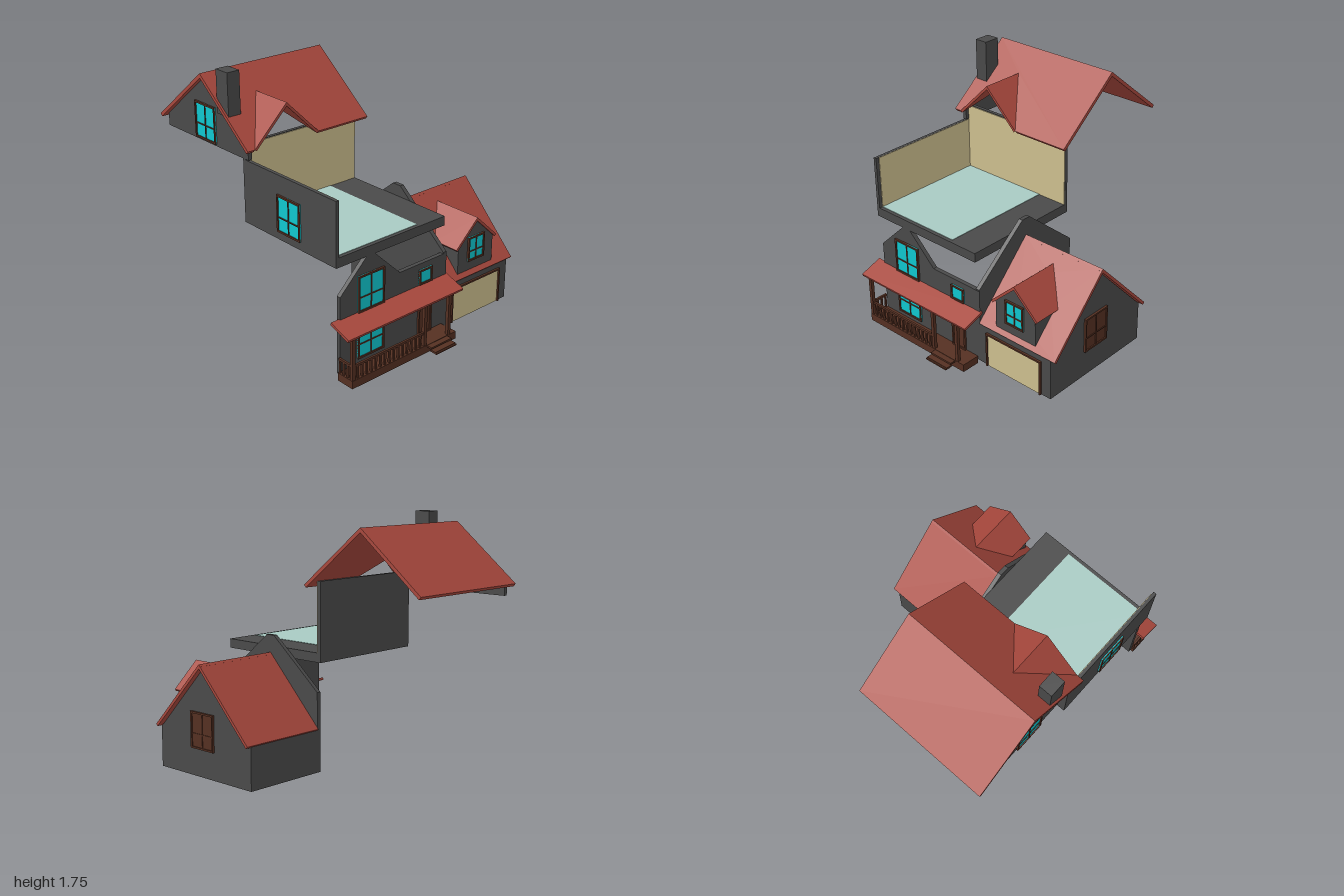
import * as THREE from 'three';

const mat = (color, opts = {}) => new THREE.MeshStandardMaterial({ color, flatShading: true, ...opts });
const GREY = mat(0x4a4a4a), RED = mat(0xa8483d), BROWN = mat(0x553022);
const GLASS = mat(0x10c8d0), BEIGE = mat(0xcfc090), TEAL = mat(0xa8cac3);

export function createModel() {
  const model = new THREE.Group();

  const add = (name, geo, material, parent = model) => {
    const m = new THREE.Mesh(geo, material);
    m.name = name;
    parent.add(m);
    return m;
  };

  // Box given by its two extreme corners
  const box = (name, material, x0, x1, y0, y1, z0, z1, parent = model) => {
    const m = add(name, new THREE.BoxGeometry(x1 - x0, y1 - y0, z1 - z0), material, parent);
    m.position.set((x0 + x1) / 2, (y0 + y1) / 2, (z0 + z1) / 2);
    return m;
  };

  // Flat slab whose outer face is a planar polygon (counter-clockwise from outside)
  const slab = (name, material, pts, t, hole) => {
    const p = pts.map(a => new THREE.Vector3(...a));
    const u = p[1].clone().sub(p[0]).normalize();
    const n = u.clone().cross(p[2].clone().sub(p[0])).normalize();
    const w = n.clone().cross(u);
    const flat = v => {
      const d = v.clone().sub(p[0]);
      return new THREE.Vector2(d.dot(u), d.dot(w));
    };
    const shape = new THREE.Shape(p.map(flat));
    if (hole) shape.holes.push(new THREE.Path(hole.map(a => flat(new THREE.Vector3(...a)))));
    const geo = new THREE.ExtrudeGeometry(shape, { depth: t, bevelEnabled: false });
    geo.translate(0, 0, -t);
    geo.applyMatrix4(new THREE.Matrix4().makeBasis(u, w, n).setPosition(p[0]));
    return add(name, geo, material);
  };

  // Two roof slopes mirrored about x = cx; pts describe the -x side
  const dormerRoof = (name, cx, pts, t) => {
    slab(name + 'RightSlope', RED, pts, t);
    slab(name + 'LeftSlope', RED, pts.map(([x, y, z]) => [2 * cx - x, y, z]).reverse(), t);
  };

  // Framed window with glazing bars, centred on its own origin and facing +z
  const windowAt = (name, w, h, x, y, z, turn = 0, pane = GLASS, cross = true) => {
    const g = new THREE.Group();
    g.name = name;
    const b = 0.012, d = 0.012;
    box('pane', pane, -w / 2, w / 2, -h / 2, h / 2, -0.004, 0.004, g);
    for (const s of [-1, 1]) {
      const fx = s * (w - b) / 2, fy = s * (h - b) / 2;
      box('frameSide', BROWN, fx - b / 2, fx + b / 2, -h / 2, h / 2, -0.004, d, g);
      box('frameRail', BROWN, -w / 2, w / 2, fy - b / 2, fy + b / 2, -0.004, d, g);
    }
    if (cross) {
      box('barUpright', BROWN, -0.004, 0.004, -h / 2, h / 2, -0.004, d - 0.003, g);
      box('barLevel', BROWN, -w / 2, w / 2, -0.1 * h - 0.004, -0.1 * h + 0.004, -0.004, d - 0.003, g);
    }
    g.position.set(x, y, z);
    g.rotation.y = turn;
    model.add(g);
  };

  const atZ = (z, pts) => pts.map(([x, y]) => [x, y, z]);
  const atX = (x, pts) => pts.map(([z, y]) => [x, y, z]);

  // Ground floor: gabled front wall and the wall shared with the garage
  slab('groundFrontWall', GREY, atZ(0.78, [[-0.75, 0.03], [0.17, 0.03], [0.17, 0.57], [-0.25, 0.57],
    [-0.47, 0.78], [-0.53, 0.78], [-0.75, 0.57]]), 0.03);
  slab('sharedWall', GREY, atX(0.17, [[0.779, 0.03], [-0.11, 0.03], [-0.11, 0.58], [0.30, 0.92],
    [0.37, 0.92], [0.779, 0.58]]), 0.03);
  windowAt('frontUpperWindow', 0.22, 0.25, -0.5, 0.54, 0.782);
  windowAt('frontLowerWindow', 0.22, 0.25, -0.5, 0.215, 0.782);
  windowAt('frontSmallWindow', 0.115, 0.105, -0.025, 0.475, 0.782, 0, GLASS, false);
  windowAt('frontDoor', 0.12, 0.235, -0.025, 0.172, 0.782, 0, BROWN, false);

  // Porch: deck, steps, posts, railing and sloping roof
  box('porchDeck', BROWN, -0.77, 0.14, 0, 0.055, 0.78, 0.915);
  box('upperStep', BROWN, -0.125, 0.06, 0.04, 0.052, 0.9, 0.955);
  box('lowerStep', BROWN, -0.125, 0.06, 0.022, 0.034, 0.94, 0.99);
  box('bottomStep', BROWN, -0.125, 0.06, 0.02, 0.03, 0.96, 1.0);
  for (const x of [-0.757, -0.142, 0.077])
    box('porchPost', BROWN, x - 0.012, x + 0.012, 0.05, 0.355, 0.89, 0.914);
  box('frontRail', BROWN, -0.757, -0.142, 0.142, 0.157, 0.895, 0.91);
  for (let i = 1; i < 16; i++) {
    const x = -0.757 + i * 0.0384;
    box('frontBaluster', BROWN, x - 0.007, x + 0.007, 0.05, 0.145, 0.896, 0.908);
  }
  box('sideRail', BROWN, -0.765, -0.75, 0.142, 0.157, 0.78, 0.9);
  for (const z of [0.79, 0.825, 0.86])
    box('sideBaluster', BROWN, -0.764, -0.752, 0.05, 0.145, z - 0.006, z + 0.006);
  slab('porchRoof', RED, [[-0.815, 0.364, 0.93], [0.18, 0.364, 0.93], [0.18, 0.42, 0.77], [-0.815, 0.42, 0.77]], 0.018);

  // Garage: walls, door and side window
  box('garageFrontWall', GREY, 0.17, 0.775, 0.03, 0.33, 0.75, 0.78);
  box('garageBackWall', GREY, 0.17, 0.775, 0.03, 0.33, -0.11, -0.08);
  slab('garageGable', GREY, atX(0.775, [[0.779, 0.03], [-0.109, 0.03], [-0.109, 0.31], [0.335, 0.77], [0.779, 0.31]]), 0.03);
  box('garageDoor', BEIGE, 0.24, 0.69, 0.03, 0.275, 0.775, 0.785);
  box('garageDoorLintel', BROWN, 0.228, 0.7, 0.272, 0.284, 0.775, 0.795);
  for (const x of [0.234, 0.694])
    box('garageDoorJamb', BROWN, x - 0.006, x + 0.006, 0.03, 0.284, 0.775, 0.795);
  windowAt('garageSideWindow', 0.22, 0.25, 0.35 + 0.428, 0.345, 0.35, Math.PI / 2, BROWN);

  // Garage roof, open beneath its dormer
  const gy = z => 0.8 - (z - 0.335) * 1.03;
  slab('garageFrontRoof', RED, [[0.17, gy(0.79), 0.79], [0.815, gy(0.79), 0.79], [0.815, 0.8, 0.335], [0.17, 0.8, 0.335]], 0.02,
    [[0.33, 0.73], [0.6, 0.73], [0.6, 0.58], [0.465, 0.45], [0.33, 0.58]].map(([x, z]) => [x, gy(z), z]));
  slab('garageBackRoof', RED, [[0.815, gy(0.79), -0.12], [0.17, gy(0.79), -0.12], [0.17, 0.8, 0.335], [0.815, 0.8, 0.335]], 0.02);

  // Garage dormer
  slab('dormerFront', GREY, atZ(0.765, [[0.3, 0.36], [0.635, 0.36], [0.635, 0.56], [0.467, 0.71], [0.3, 0.56]]), 0.02);
  for (const x of [0.319, 0.634])
    slab('dormerCheek', GREY, atX(x, [[0.755, 0.36], [0.56, 0.565], [0.755, 0.565]]), 0.018);
  dormerRoof('dormer', 0.465, [[0.465, 0.73, 0.775], [0.465, 0.73, 0.4], [0.27, 0.55, 0.58], [0.27, 0.55, 0.775]], 0.018);
  windowAt('dormerWindow', 0.155, 0.175, 0.465, 0.515, 0.767);

  // Lifted upper storey: slab, two walls and their inner linings
  box('upperSlab', GREY, -0.78, 0.14, 0.775, 0.84, -0.11, 0.78);
  box('upperFloor', TEAL, -0.755, -0.085, 0.835, 0.843, -0.08, 0.755);
  box('upperSideWall', GREY, -0.78, -0.757, 0.84, 1.21, -0.11, 0.78);
  box('upperSideLining', BEIGE, -0.758, -0.753, 0.84, 1.209, -0.085, 0.755);
  box('upperBackWall', GREY, -0.78, 0.14, 0.84, 1.32, -0.11, -0.085);
  box('upperBackLining', BEIGE, -0.755, 0.139, 0.84, 1.315, -0.086, -0.08);
  windowAt('upperSideWindow', 0.22, 0.25, -0.782, 0.957, 0.345, -Math.PI / 2);

  // Lifted main roof: notched front slope, back slope, cross gable, end wall and chimney
  const E = 1.295, R = 1.69;
  slab('mainFrontRoof', RED, [[0.19, E, -0.01], [0.19, R, -0.5], [-0.815, R, -0.5], [-0.815, E, -0.01],
    [-0.76, E, -0.01], [-0.5, 1.55, -0.33], [-0.24, E, -0.01]], 0.024);
  slab('mainBackRoof', RED, [[0.19, E, -0.99], [-0.815, E, -0.99], [-0.815, R, -0.5], [0.19, R, -0.5]], 0.024);
  dormerRoof('crossGable', -0.5, [[-0.5, 1.55, -0.01], [-0.5, 1.55, -0.33], [-0.76, E, -0.01]], 0.018);
  slab('roofEndWall', GREY, atX(-0.78, [[-0.945, 1.215], [-0.055, 1.215], [-0.055, 1.3], [-0.5, 1.665], [-0.945, 1.3]]), 0.028);
  windowAt('roofEndWindow', 0.22, 0.25, -0.782, 1.355, -0.5, -Math.PI / 2);
  box('chimney', GREY, -0.8, -0.705, 1.46, 1.755, -0.34, -0.22);

  return model;
}
